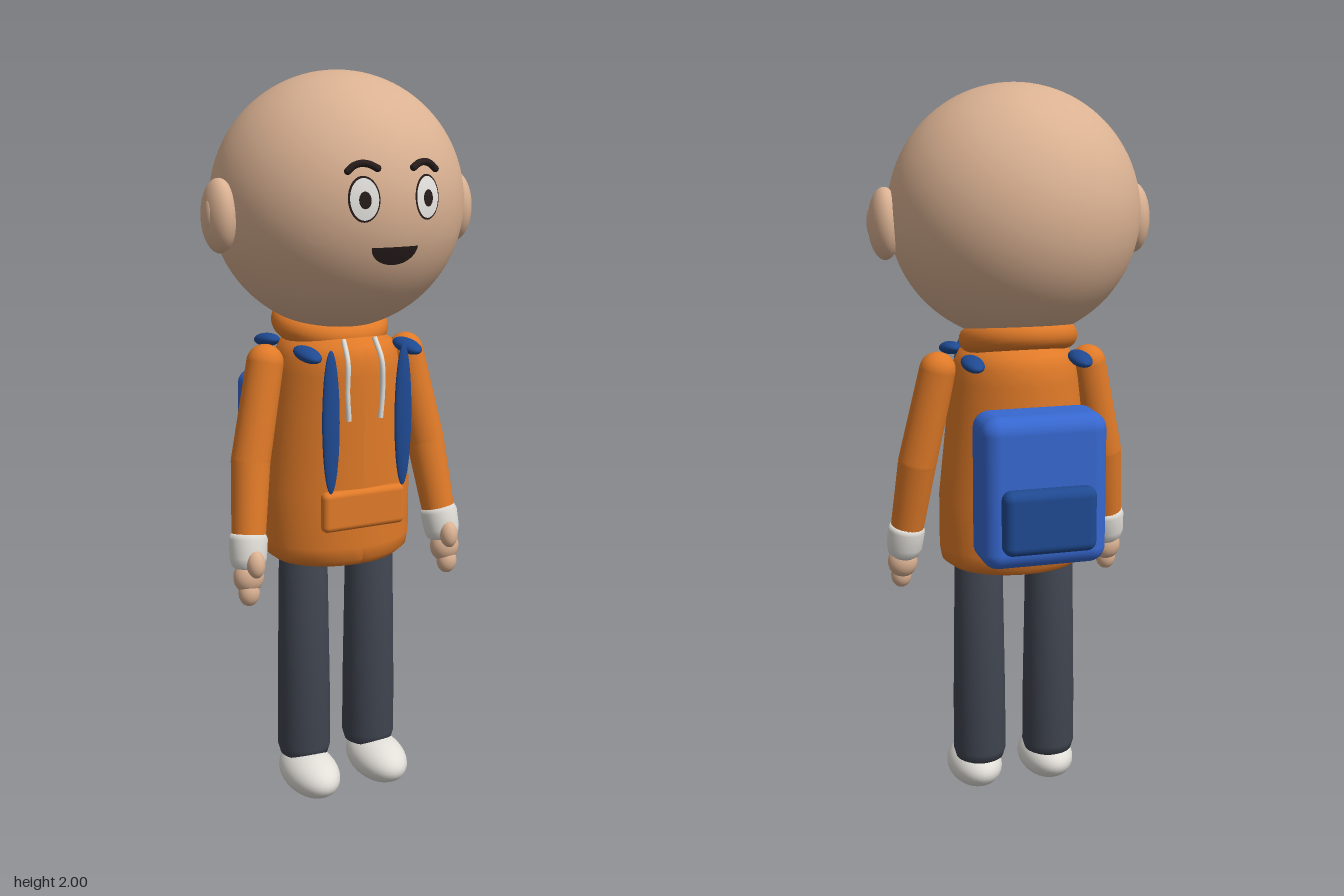
import * as THREE from 'three';
import { RoundedBoxGeometry } from 'three/addons/geometries/RoundedBoxGeometry.js';

const mat = (name, color) => new THREE.MeshStandardMaterial({ name, color });
const V = (x, y, z) => new THREE.Vector3(x, y, z);

export function createModel() {
  const skin = mat('skin', 0xdab192);
  const orange = mat('orange fabric', 0xe07a28);
  const blue = mat('blue fabric', 0x3768d0);
  const navy = mat('dark blue fabric', 0x1f4a92);
  const denim = mat('charcoal trousers', 0x3f444f);
  const white = mat('off white', 0xe2dfd9);
  const eyeWhite = mat('eye white', 0xf4f2ee);
  const dark = mat('dark features', 0x261c1b);

  const model = new THREE.Group();
  model.name = 'childWithBackpack';

  function add(parent, name, geometry, material) {
    const mesh = new THREE.Mesh(geometry, material);
    mesh.name = name;
    parent.add(mesh);
    return mesh;
  }
  function ellipsoid(parent, name, material, pos, radii, rot = [0, 0, 0]) {
    const mesh = add(parent, name, new THREE.SphereGeometry(1, 32, 20), material);
    mesh.position.set(...pos);
    mesh.scale.set(...radii);
    mesh.rotation.set(...rot);
    return mesh;
  }
  function box(parent, name, material, pos, size, radius) {
    const mesh = add(parent, name, new RoundedBoxGeometry(...size, 5, radius), material);
    mesh.position.set(...pos);
    return mesh;
  }
  // Tapered round bar from a to b
  function bar(parent, name, material, a, b, ra, rb) {
    const mesh = add(parent, name, new THREE.CylinderGeometry(rb, ra, a.distanceTo(b), 28), material);
    mesh.position.copy(a).lerp(b, 0.5);
    mesh.quaternion.setFromUnitVectors(V(0, 1, 0), b.clone().sub(a).normalize());
    return mesh;
  }

  // Head
  const head = new THREE.Group();
  head.name = 'head';
  model.add(head);
  const R = 0.336, CY = 1.664, CZ = 0.013;
  ellipsoid(head, 'skull', skin, [0, CY, CZ], [R, R, R]).geometry = new THREE.SphereGeometry(1, 64, 48);
  const surfaceZ = (x, y, lift) => CZ + Math.sqrt((R + lift) ** 2 - x * x - (y - CY) ** 2);

  // Thin elliptical patch that follows the face
  function patch(name, material, x, y, rx, ry, lift, tilt = 0, start = 0, sweep = Math.PI * 2) {
    const g = new THREE.RingGeometry(0, 1, 36, 4, start, sweep);
    g.scale(rx, ry, 1).rotateZ(tilt).translate(x, y, 0);
    const p = g.attributes.position;
    for (let i = 0; i < p.count; i++) p.setZ(i, surfaceZ(p.getX(i), p.getY(i), lift));
    g.computeVertexNormals();
    return add(head, name, g, material);
  }
  patch('mouth', dark, 0, 1.574, 0.065, 0.046, 0.004, 0, Math.PI, Math.PI);

  // Torso: rounded lathe, wider across the hips than across the neck
  const profile = [[0, 0.685], [0.11, 0.686], [0.14, 0.695], [0.16, 0.715], [0.165, 0.75], [0.166, 0.9],
    [0.167, 1.1], [0.168, 1.22], [0.164, 1.265], [0.15, 1.295], [0.12, 1.315], [0.07, 1.33], [0, 1.335]];
  const torsoGeo = new THREE.LatheGeometry(profile.map(([r, y]) => new THREE.Vector2(r, y)), 48);
  const tp = torsoGeo.attributes.position;
  for (let i = 0; i < tp.count; i++) {
    const t = THREE.MathUtils.smoothstep(tp.getY(i), 0.85, 1.33);
    tp.setX(i, tp.getX(i) * THREE.MathUtils.lerp(1.28, 1.0, t));
  }
  torsoGeo.computeVertexNormals();
  add(model, 'sweaterBody', torsoGeo, orange).position.z = 0.01;

  // Hood collar, rising toward the back
  const collar = add(model, 'hoodCollar', new THREE.TorusGeometry(0.122, 0.038, 20, 48), orange);
  collar.position.set(0, 1.335, -0.028);
  collar.rotation.x = Math.PI / 2 + 0.2;
  box(model, 'frontPocket', orange, [0, 0.86, 0.17], [0.245, 0.11, 0.036], 0.016);

  // Backpack
  box(model, 'backpack', blue, [0, 0.972, -0.232], [0.336, 0.405, 0.166], 0.045);
  box(model, 'backpackPocket', navy, [0, 0.905, -0.325], [0.25, 0.172, 0.06], 0.025);

  // Everything that comes in pairs
  for (const s of [1, -1]) {
    const side = s > 0 ? 'left' : 'right';

    // Face
    ellipsoid(head, side + 'Ear', skin, [s * 0.345, 1.64, 0.037], [0.043, 0.095, 0.068]);
    ellipsoid(head, side + 'InnerEar', skin, [s * 0.376, 1.643, 0.05], [0.014, 0.042, 0.022]);
    patch(side + 'Eye', dark, s * 0.088, 1.693, 0.039, 0.056, 0.003);
    patch(side + 'EyeWhite', eyeWhite, s * 0.088, 1.693, 0.035, 0.051, 0.005);
    patch(side + 'Pupil', dark, s * 0.088, 1.691, 0.015, 0.021, 0.007);
    patch(side + 'Cheek', skin, s * 0.17, 1.613, 0.047, 0.027, 0.005, -s * 0.35);
    const browPts = [[0.05, 1.766], [0.07, 1.776], [0.09, 1.778], [0.108, 1.772], [0.122, 1.76]]
      .map(([x, y]) => V(s * x, y, surfaceZ(x, y, 0.004)));
    add(head, side + 'Brow', new THREE.TubeGeometry(new THREE.CatmullRomCurve3(browPts), 20, 0.009, 10), dark);
    for (const end of [browPts[0], browPts[4]])
      ellipsoid(head, side + 'BrowEnd', dark, end.toArray(), [0.009, 0.009, 0.009]);

    // Sleeve
    const shoulder = V(s * 0.213, 1.247, 0.015), elbow = V(s * 0.268, 0.99, 0.038), wrist = V(s * 0.293, 0.79, 0.075);
    bar(model, side + 'UpperSleeve', orange, shoulder, elbow, 0.05, 0.053);
    bar(model, side + 'LowerSleeve', orange, elbow, wrist, 0.053, 0.046);
    ellipsoid(model, side + 'Shoulder', orange, shoulder.toArray(), [0.05, 0.05, 0.05]);
    ellipsoid(model, side + 'Elbow', orange, elbow.toArray(), [0.053, 0.053, 0.053]);

    // Cuff and hand
    const cuffPts = [[0, -0.052], [0.032, -0.052], [0.044, -0.042], [0.05, -0.02], [0.052, 0.03], [0.046, 0.045], [0, 0.047]];
    const cuff = add(model, side + 'Cuff',
      new THREE.LatheGeometry(cuffPts.map(([r, y]) => new THREE.Vector2(r, y)), 28), white);
    cuff.position.set(s * 0.297, 0.758, 0.081);
    cuff.rotation.set(-0.18, 0, s * 0.1);
    ellipsoid(model, side + 'Palm', skin, [s * 0.303, 0.688, 0.095], [0.042, 0.045, 0.036]);
    ellipsoid(model, side + 'Fingers', skin, [s * 0.306, 0.646, 0.104], [0.029, 0.036, 0.026]);
    ellipsoid(model, side + 'Thumb', skin, [s * 0.296, 0.732, 0.128], [0.025, 0.038, 0.026], [-0.2, 0, 0]);

    // Trouser leg and shoe
    const legPts = [[0, 0.1], [0.05, 0.1], [0.068, 0.11], [0.075, 0.135], [0.074, 0.3], [0.067, 0.72], [0, 0.74]];
    add(model, side + 'Leg', new THREE.LatheGeometry(legPts.map(([r, y]) => new THREE.Vector2(r, y)), 32), denim)
      .position.set(s * 0.103, 0, 0.013);
    ellipsoid(model, side + 'Shoe', white, [s * 0.108, 0.065, 0.058], [0.077, 0.062, 0.122], [0.06, 0, 0]);

    // Backpack straps
    ellipsoid(model, side + 'ChestStrap', navy, [s * 0.107, 1.108, 0.194], [0.025, 0.192, 0.011]);
    ellipsoid(model, side + 'FrontShoulderStrap', navy, [s * 0.148, 1.284, 0.14], [0.029, 0.018, 0.062], [0.12, 0, 0]);
    ellipsoid(model, side + 'BackShoulderStrap', navy, [s * 0.148, 1.284, -0.116], [0.029, 0.018, 0.06], [-0.12, 0, 0]);

    // Drawstring
    const cord = new THREE.CatmullRomCurve3([V(s * 0.046, 1.315, 0.145), V(s * 0.05, 1.26, 0.179), V(s * 0.052, 1.18, 0.181), V(s * 0.047, 1.105, 0.18)]);
    add(model, side + 'Drawstring', new THREE.TubeGeometry(cord, 20, 0.007, 10), white);
  }
  return model;
}
